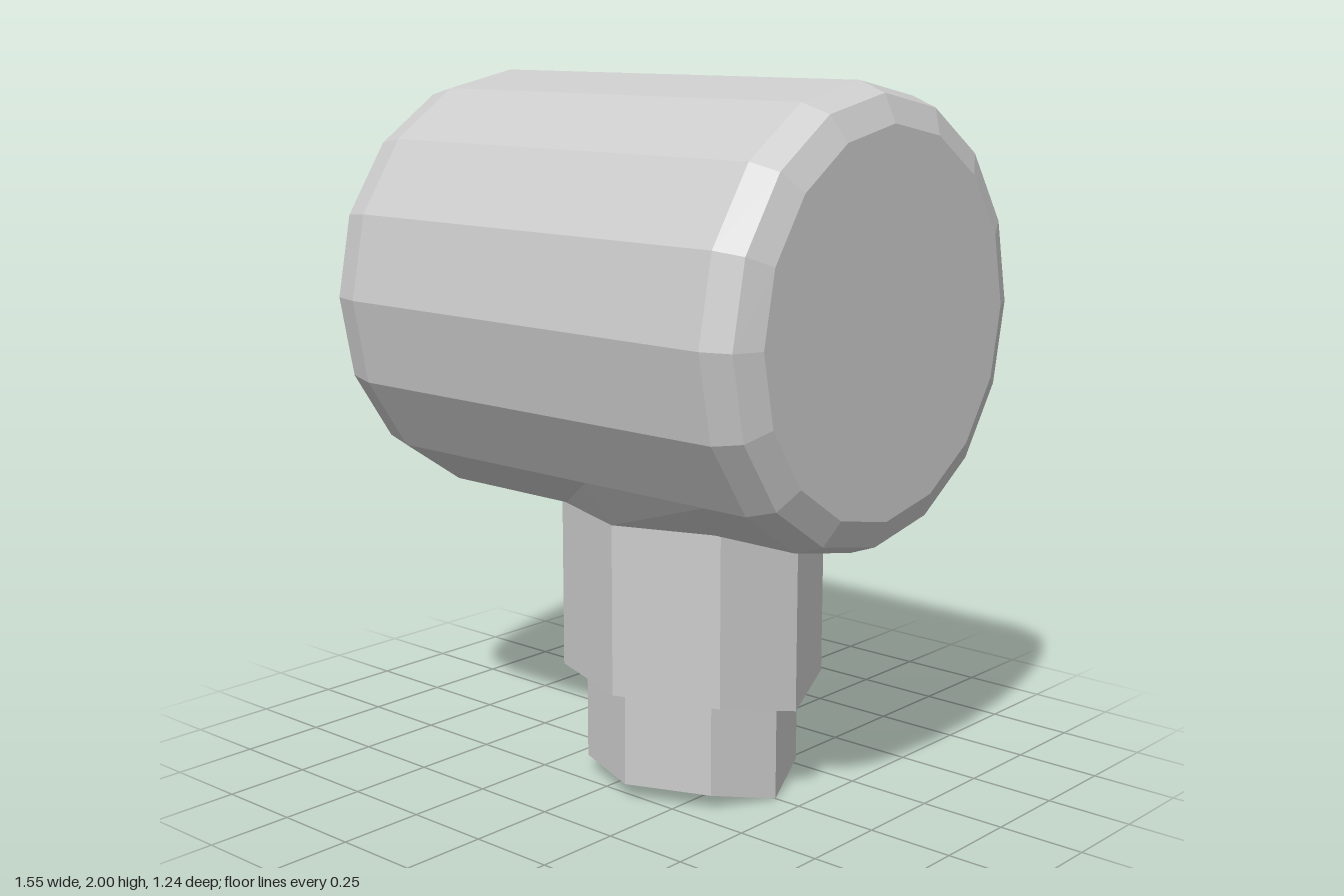
import * as THREE from 'three';

const material = new THREE.MeshStandardMaterial({ color: 0xcccccc, flatShading: true, side: THREE.DoubleSide });
const AXIS_Y = 1.38, SIDES = 16, STEM_X = 0.105;

function part(name, geometry, x = 0, y = 0, z = 0) {
  const mesh = new THREE.Mesh(geometry, material);
  mesh.name = name;
  mesh.position.set(x, y, z);
  return mesh;
}

// Eight corners counted from +x towards +z; the two corners on the x axis get their own height
function octagon(halfX, halfZ, diagX, diagZ, yAxis, yRest) {
  return [[1, 0], [1, 1], [0, 1], [-1, 1], [-1, 0], [-1, -1], [0, -1], [1, -1]].map(([sx, sz]) => [
    sx * (sz ? diagX : halfX), sz ? yRest : yAxis, sz * (sx ? diagZ : halfZ)]);
}

// Skin a stack of rings from bottom to top, with an optional keeled bottom cap
function loft(rings, capY) {
  const n = rings[0].length, index = [];
  const points = rings.flat();
  for (let r = 0; r < rings.length - 1; r++) {
    for (let i = 0; i < n; i++) {
      const a = r * n + i, b = r * n + (i + 1) % n;
      index.push(a, a + n, b, b, a + n, b + n);
    }
  }
  if (capY !== undefined) {
    points.push([0, capY, 0]);
    for (let i = 0; i < n; i++) index.push(points.length - 1, i, (i + 1) % n);
  }
  const geometry = new THREE.BufferGeometry();
  geometry.setAttribute('position', new THREE.Float32BufferAttribute(points.flat(), 3));
  geometry.setIndex(index);
  geometry.computeVertexNormals();
  return geometry;
}

export function createModel() {
  const model = new THREE.Group();
  model.name = 'tHead';

  // Barrel lying along x: recess wall, rounded rim, side, bevelled flat end
  const profile = [
    [0.41, -0.655], [0.44, -0.775], [0.54, -0.755], [0.598, -0.695], [0.62, -0.61],
    [0.62, 0.66], [0.59, 0.74], [0.515, 0.775], [0, 0.775],
  ].map(([r, x]) => new THREE.Vector2(r, x));
  const barrel = new THREE.LatheGeometry(profile, SIDES).rotateZ(-Math.PI / 2);
  model.add(part('barrel', barrel, 0, AXIS_Y, 0));

  // Recess floor with a rectangular slot
  const floor = new THREE.Shape();
  for (let i = 0; i < SIDES; i++) {
    const a = (i / SIDES) * Math.PI * 2;
    floor[i ? 'lineTo' : 'moveTo'](0.41 * Math.cos(a), 0.41 * Math.sin(a));
  }
  const w = 0.33, h = 0.18;
  floor.holes.push(new THREE.Path([[-w, -h], [-w, h], [w, h], [w, -h]].map(([x, y]) => new THREE.Vector2(x, y))));
  const plate = new THREE.ExtrudeGeometry(floor, { depth: 0.06, bevelEnabled: false }).rotateY(Math.PI / 2);
  model.add(part('recessFloor', plate, -0.655, AXIS_Y, 0));
  const back = new THREE.PlaneGeometry(2 * w, 2 * h).rotateY(-Math.PI / 2);
  model.add(part('slotBack', back, -0.595, AXIS_Y, 0));

  // Upper collar, flaring into the underside of the barrel
  const collar = loft([
    octagon(0.38, 0.335, 0.295, 0.225, 0.275, 0.32),
    octagon(0.38, 0.335, 0.295, 0.225, 0.76, 0.805),
    octagon(0.4, 0.438, 0.42, 0.438, 0.76, 0.942),
  ], 0.28);
  model.add(part('collar', collar, STEM_X, 0, 0));

  // Narrower foot with a shallow keeled base
  const foot = loft([
    octagon(0.312, 0.285, 0.235, 0.19, 0, 0.045),
    octagon(0.312, 0.285, 0.235, 0.19, 0.31, 0.33),
  ], 0.01);
  model.add(part('foot', foot, STEM_X, 0, 0));

  return model;
}
